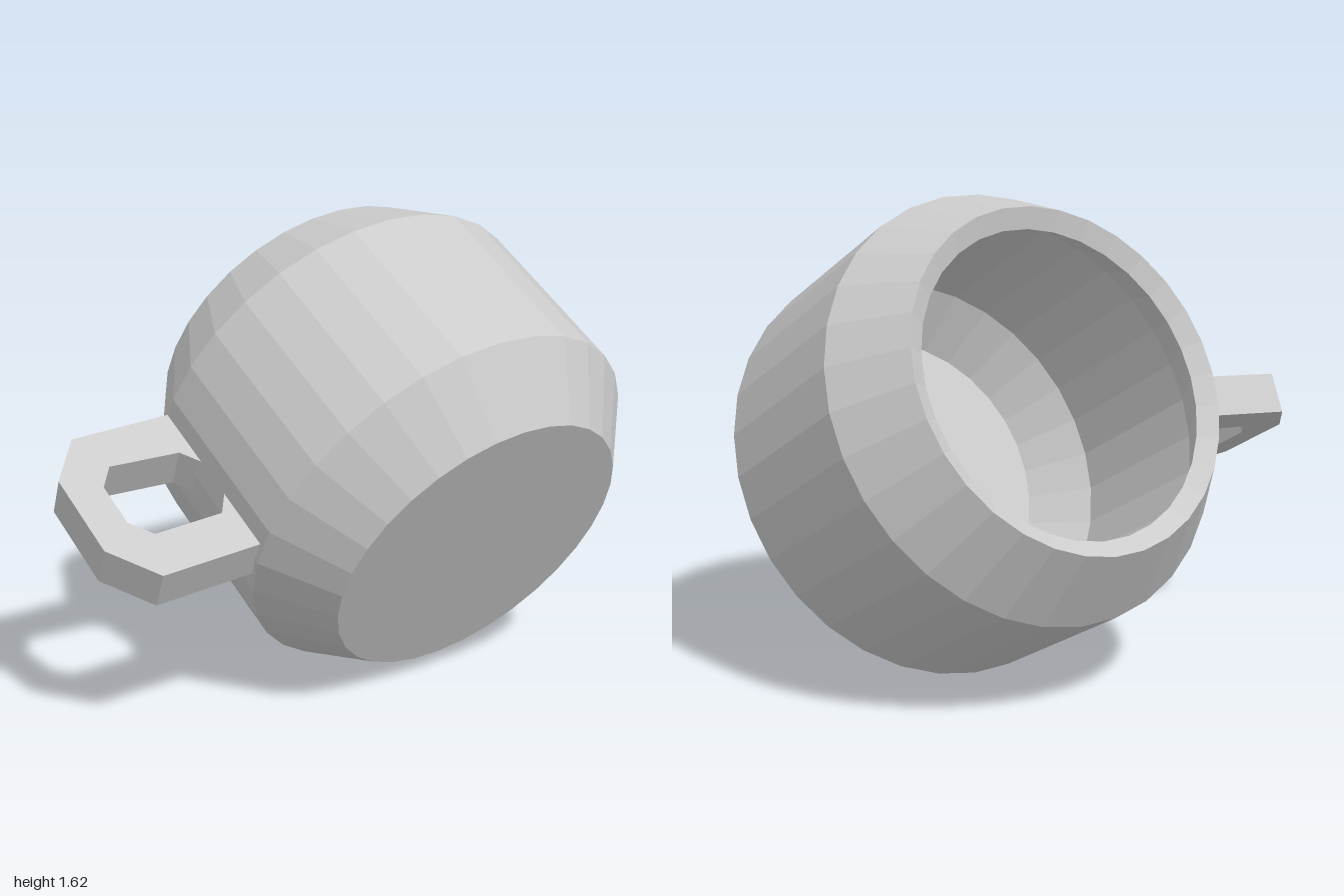
import * as THREE from 'three';

const vectors = (pairs) => pairs.map(([x, y]) => new THREE.Vector2(x, y));

export function createModel() {
  const material = new THREE.MeshStandardMaterial({ color: 0xcccccc, flatShading: true });
  const cup = new THREE.Group();
  cup.name = 'cup';

  // Bowl: outer wall from base to rim, then back down the inside to the floor
  const profile = vectors([
    [0, 0], [0.559, 0], [0.748, 0.226], [0.748, 0.867], [0.59, 1.122],
    [0.528, 1.08], [0.681, 0.845], [0.681, 0.25], [0.528, 0.067], [0, 0.067],
  ]);
  const bowl = new THREE.Mesh(new THREE.LatheGeometry(profile, 32), material);
  bowl.name = 'bowl';
  cup.add(bowl);

  // Handle: chamfered loop whose inner end is sunk into the wall
  const outline = new THREE.Shape(vectors([
    [-0.69, 0.245], [-0.69, 0.87], [-1.1, 0.88], [-1.225, 0.725], [-1.225, 0.405], [-1.1, 0.245],
  ]));
  outline.holes.push(new THREE.Path(vectors([
    [-0.79, 0.41], [-1.04, 0.41], [-1.1, 0.485], [-1.1, 0.65],
    [-1.04, 0.725], [-0.79, 0.70], [-0.735, 0.63], [-0.735, 0.49],
  ])));
  const width = 0.145;
  const handleGeometry = new THREE.ExtrudeGeometry(outline, { depth: width, bevelEnabled: false });
  handleGeometry.translate(0, 0, -width / 2);
  const handle = new THREE.Mesh(handleGeometry, material);
  handle.name = 'handle';
  cup.add(handle);

  // Lay the cup over, base to the front, with a slight roll
  const axis = new THREE.Vector3(0.0245, 0.4706, -0.882).normalize();
  const across = new THREE.Vector3(0.995, 0.08, 0.06);
  const depth = across.clone().cross(axis).normalize();
  across.crossVectors(axis, depth);
  cup.quaternion.setFromRotationMatrix(new THREE.Matrix4().makeBasis(across, axis, depth));
  cup.position.set(0.225, 0.557, 0.505);

  const model = new THREE.Group();
  model.name = 'tiltedCup';
  model.add(cup);
  return model;
}
